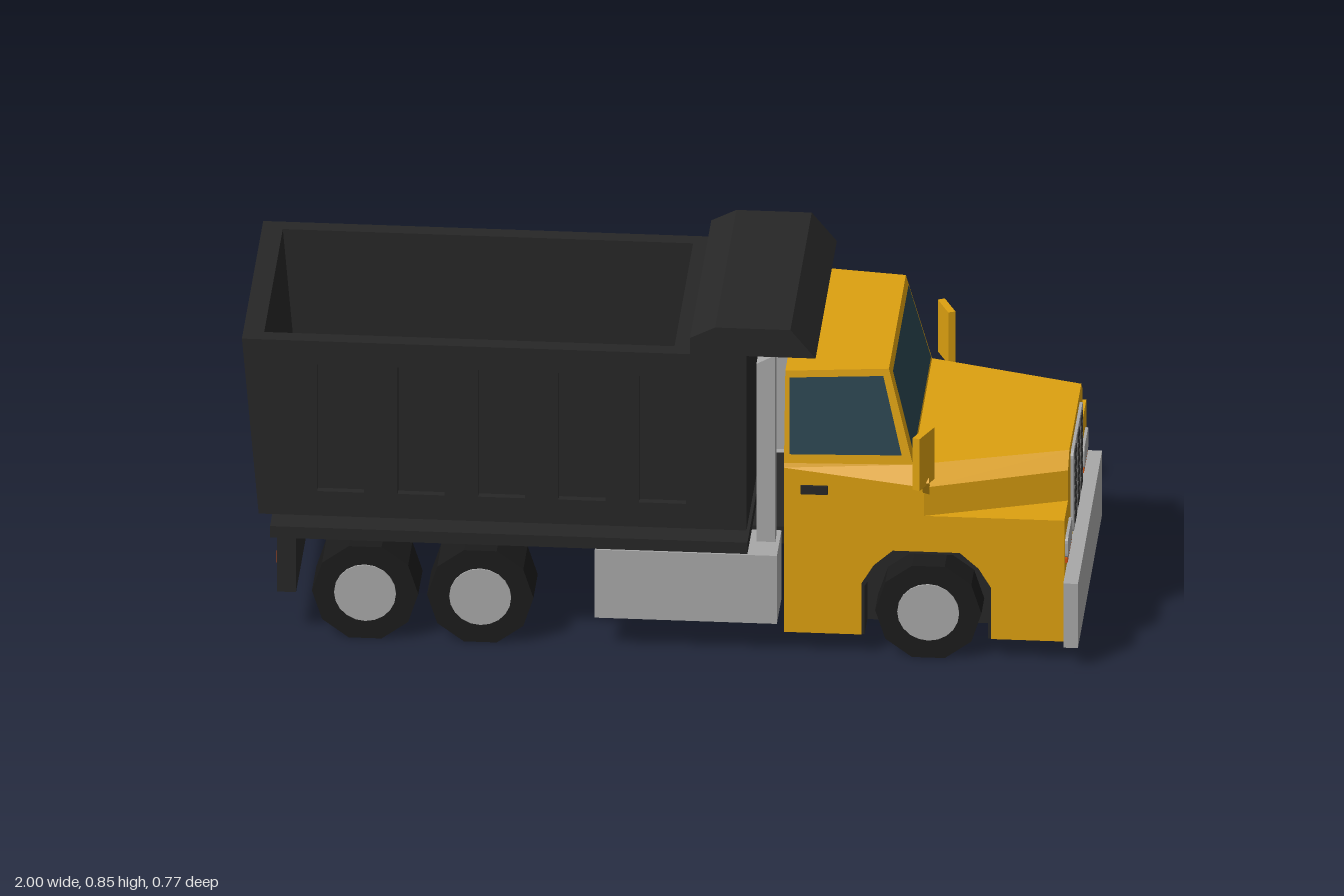
import * as THREE from 'three';

export function createModel() {
  const truck = new THREE.Group();
  truck.name = 'dumpTruck';
  const paint = (name, color, side = THREE.FrontSide) => {
    const m = new THREE.MeshStandardMaterial({ color, side, flatShading: true });
    m.name = name;
    return m;
  };
  const yellow = paint('yellow paint', 0xdca010);
  const black = paint('black body', 0x272727);
  const rubber = paint('tyre rubber', 0x1b1b1b);
  const grey = paint('grey metal', 0xa8a8a8);
  const glass = paint('dark glass', 0x29444f, THREE.DoubleSide);
  const orange = paint('orange lamp', 0xd0500f);

  const add = (name, geo, mat, parent = truck) => {
    const m = new THREE.Mesh(geo, mat);
    m.name = name;
    parent.add(m);
    return m;
  };
  // box given by its ranges
  const box = (name, mat, x0, x1, y0, y1, z0, z1) => {
    const g = new THREE.BoxGeometry(x1 - x0, y1 - y0, z1 - z0);
    g.translate((x0 + x1) / 2, (y0 + y1) / 2, (z0 + z1) / 2);
    return add(name, g, mat);
  };
  // side profile (x, y) extruded from z0 to z1
  const prism = (name, mat, pts, z0, z1, holes = []) => {
    const v = (list) => list.map((p) => new THREE.Vector2(p[0], p[1]));
    const s = new THREE.Shape(v(pts));
    holes.forEach((h) => s.holes.push(new THREE.Path(v(h))));
    const g = new THREE.ExtrudeGeometry(s, { depth: z1 - z0, bevelEnabled: false });
    g.translate(0, 0, z0);
    return add(name, g, mat);
  };
  // flat polygon, corners counter-clockwise from outside; s = -1 mirrors it
  const face = (name, mat, pts, s = 1) => {
    let p = pts.map((q) => [q[0], q[1], q[2] * s]);
    if (s < 0) p = p.reverse();
    const pos = [];
    for (let i = 1; i < p.length - 1; i++) pos.push(...p[0], ...p[i], ...p[i + 1]);
    const g = new THREE.BufferGeometry();
    g.setAttribute('position', new THREE.Float32BufferAttribute(pos, 3));
    g.computeVertexNormals();
    return add(name, g, mat);
  };
  // pane inset within a four-cornered face, raised slightly from it
  const pane = (name, c, u0, u1, v0, v1, s = 1) => {
    const [a, b, d, e] = c.map((p) => new THREE.Vector3(...p));
    const n = b.clone().sub(a).cross(e.clone().sub(a)).normalize().multiplyScalar(0.004);
    const at = (u, v) => a.clone().lerp(b, u).lerp(e.clone().lerp(d, u), v).add(n).toArray();
    return face(name, glass, [at(u0, v0), at(u1, v0), at(u1, v1), at(u0, v1)], s);
  };
  // rounded plate facing +x
  const plate = (name, mat, x, y, z, w, h, r) => {
    const s = new THREE.Shape();
    const a = w / 2, b = h / 2;
    s.moveTo(-a + r, -b);
    s.lineTo(a - r, -b); s.quadraticCurveTo(a, -b, a, -b + r);
    s.lineTo(a, b - r); s.quadraticCurveTo(a, b, a - r, b);
    s.lineTo(-a + r, b); s.quadraticCurveTo(-a, b, -a, b - r);
    s.lineTo(-a, -b + r); s.quadraticCurveTo(-a, -b, -a + r, -b);
    const g = new THREE.ExtrudeGeometry(s, { depth: 0.007, bevelEnabled: false, curveSegments: 4 });
    const m = add(name, g, mat);
    m.rotation.y = Math.PI / 2;
    m.position.set(x, y, z);
  };

  // lower cab and fenders, with the wheel arch cut out
  const arch = [[0.48, 0.055], [0.48, 0.19], [0.51, 0.24], [0.555, 0.28],
    [0.715, 0.28], [0.76, 0.24], [0.79, 0.19], [0.79, 0.055]];
  prism('lowerCab', yellow, [[0.295, 0.055], ...arch, [0.965, 0.055], [0.965, 0.375],
    [0.63, 0.375], [0.63, 0.45], [0.295, 0.49]], -0.33, 0.33);
  prism('wheelWell', black, arch, -0.235, 0.235);
  const lining = arch.map(([x, y]) => [0.635 + (x - 0.635) * 0.95, y > 0.06 ? y - 0.007 : y]);
  prism('archLining', black, [...arch, ...lining.reverse()], -0.328, 0.328);
  box('cabUnderside', black, 0.3, 0.48, 0.05, 0.06, -0.32, 0.32);
  box('noseUnderside', black, 0.79, 0.962, 0.05, 0.06, -0.32, 0.32);
  box('middleUnderside', black, 0.48, 0.79, 0.05, 0.06, -0.235, 0.235);

  // greenhouse with roof and windows
  const side = [[0.295, 0.5, 0.325], [0.6, 0.49, 0.29], [0.54, 0.725, 0.255], [0.295, 0.725, 0.285]];
  const flip = (p) => [p[0], p[1], -p[2]];
  const front = [side[1], flip(side[1]), flip(side[2]), side[2]];
  face('windscreenFrame', yellow, front);
  pane('windscreen', front, 0.045, 0.955, 0.07, 0.93);
  face('roof', yellow, [side[3], side[2], flip(side[2]), flip(side[3])]);
  face('cabBack', yellow, [[0.295, 0.49, -0.33], [0.295, 0.49, 0.33], side[0], side[3], flip(side[3]), flip(side[0])]);

  // bonnet: flat top, chamfered edges, walls tapering to the nose
  face('bonnetTop', yellow, [[0.6, 0.49, 0.29], [0.965, 0.49, 0.18], [0.965, 0.49, -0.18], [0.6, 0.49, -0.29]]);
  face('bonnetFront', yellow, [[0.965, 0.375, 0.22], [0.965, 0.375, -0.22], [0.965, 0.455, -0.22],
    [0.965, 0.49, -0.18], [0.965, 0.49, 0.18], [0.965, 0.455, 0.22]]);

  // grille with slots, and bumper
  plate('grille', grey, 0.965, 0.358, 0, 0.285, 0.215, 0.018);
  for (const z of [-0.11, 0, 0.11].map((v) => v * 0.82)) {
    for (let r = 0; r < 6; r++) {
      for (const d of [-0.006, 0.006]) {
        const y = 0.275 + r * 0.0335 + d;
        box('grilleSlot', black, 0.97, 0.9745, y - 0.0035, y + 0.0035, z - 0.026, z + 0.026);
      }
    }
  }
  box('frontBumper', grey, 0.965, 1, 0.055, 0.225, -0.363, 0.363);

  // chassis and rear plate
  box('deckRail', black, -0.93, 0.21, 0.27, 0.3, -0.355, 0.355);
  box('subfloor', black, -0.9, 0.2, 0.3, 0.316, -0.28, 0.28);
  box('chassis', black, -0.9, 0.3, 0.225, 0.27, -0.2, 0.2);
  box('rearPlate', black, -0.915, -0.87, 0.115, 0.27, -0.33, 0.33);

  // tipper body with panelled sides
  const bodyProfile = [[-0.96, 0.315], [0.205, 0.315], [0.205, 0.777], [-1, 0.777]];
  const panels = [];
  for (let i = 0; i < 5; i++) {
    const x = -0.82 + i * 0.192;
    panels.push([[x, 0.38], [x, 0.715], [x + 0.112, 0.715], [x + 0.112, 0.38]]);
  }
  box('bedFloor', black, -0.93, 0.04, 0.315, 0.36, -0.28, 0.28);
  prism('tailgate', black, [[-0.96, 0.315], [-0.91, 0.315], [-0.95, 0.777], [-1, 0.777]], -0.28, 0.28);
  box('bedFront', black, 0.03, 0.205, 0.315, 0.777, -0.28, 0.28);
  prism('canopy', black, [[0.07, 0.777], [0.37, 0.777], [0.31, 0.85], [0.13, 0.85], [0.07, 0.82]], -0.32, 0.32);

  // wheel with a round hub
  const wheel = (x, s, inner) => {
    const g = new THREE.Group();
    g.name = 'wheel';
    const w = 0.33 - inner;
    const tyre = new THREE.CylinderGeometry(0.127, 0.127, w, 10, 1, false, Math.PI / 10);
    add('tyre', tyre.rotateX(Math.PI / 2), rubber, g);
    const hub = new THREE.CylinderGeometry(0.074, 0.074, 0.008, 20).rotateX(Math.PI / 2);
    hub.translate(0, 0, s * w / 2);
    add('hub', hub, grey, g);
    g.position.set(x, 0.121, s * (0.33 + inner) / 2);
    truck.add(g);
  };

  for (const s of [1, -1]) {
    const zr = (a, b) => (s > 0 ? [a, b] : [-b, -a]);
    face('cabSide', yellow, side, s);
    pane('sideWindow', side, 0.04, 0.93, 0.1, 0.93, s);
    face('shoulder', yellow, [[0.295, 0.49, 0.33], [0.63, 0.45, 0.33], side[1], side[0]], s);
    face('bonnetChamfer', yellow, [[0.63, 0.45, 0.33], [0.965, 0.455, 0.22], [0.965, 0.49, 0.18], [0.6, 0.49, 0.29]], s);
    face('bonnetWall', yellow, [[0.63, 0.375, 0.33], [0.965, 0.375, 0.22], [0.965, 0.455, 0.22], [0.63, 0.45, 0.33]], s);
    box('doorHandle', black, 0.335, 0.4, 0.424, 0.446, ...zr(0.329, 0.336));
    // lamps
    plate('headlamp', grey, 0.965, 0.29, s * 0.244, 0.126, 0.056, 0.015);
    box('indicator', orange, 0.965, 0.971, 0.253, 0.265, ...zr(0.182, 0.308));
    box('tailLamp', orange, -0.919, -0.914, 0.175, 0.205, ...zr(0.19, 0.295));
    // mirror on a short arm
    const mirror = add('mirror', new THREE.BoxGeometry(0.018, 0.137, 0.075), yellow);
    mirror.position.set(0.63, 0.535, s * 0.346);
    mirror.rotation.y = -s * 0.42;
    const arm = add('mirrorArm', new THREE.BoxGeometry(0.016, 0.06, 0.016), yellow);
    arm.position.set(0.635, 0.453, s * 0.332);
    arm.rotation.x = s * 0.6;
    // exhaust stack, fuel tank
    prism('exhaustStack', grey, [[0.225, 0.26], [0.27, 0.26], [0.27, 0.76], [0.225, 0.735]], ...zr(0.23, 0.275));
    box('fuelTank', grey, -0.155, 0.28, 0.085, 0.265, ...zr(0.21, 0.35));
    // bed side: panelled skin over an inner wall
    prism('bedSkin', black, bodyProfile, ...zr(0.302, 0.32), panels);
    prism('bedWall', black, bodyProfile, ...zr(0.28, 0.302));
    wheel(0.64, s, 0.245);
    wheel(-0.43, s, 0.2);
    wheel(-0.705, s, 0.2);
  }
  return truck;
}
